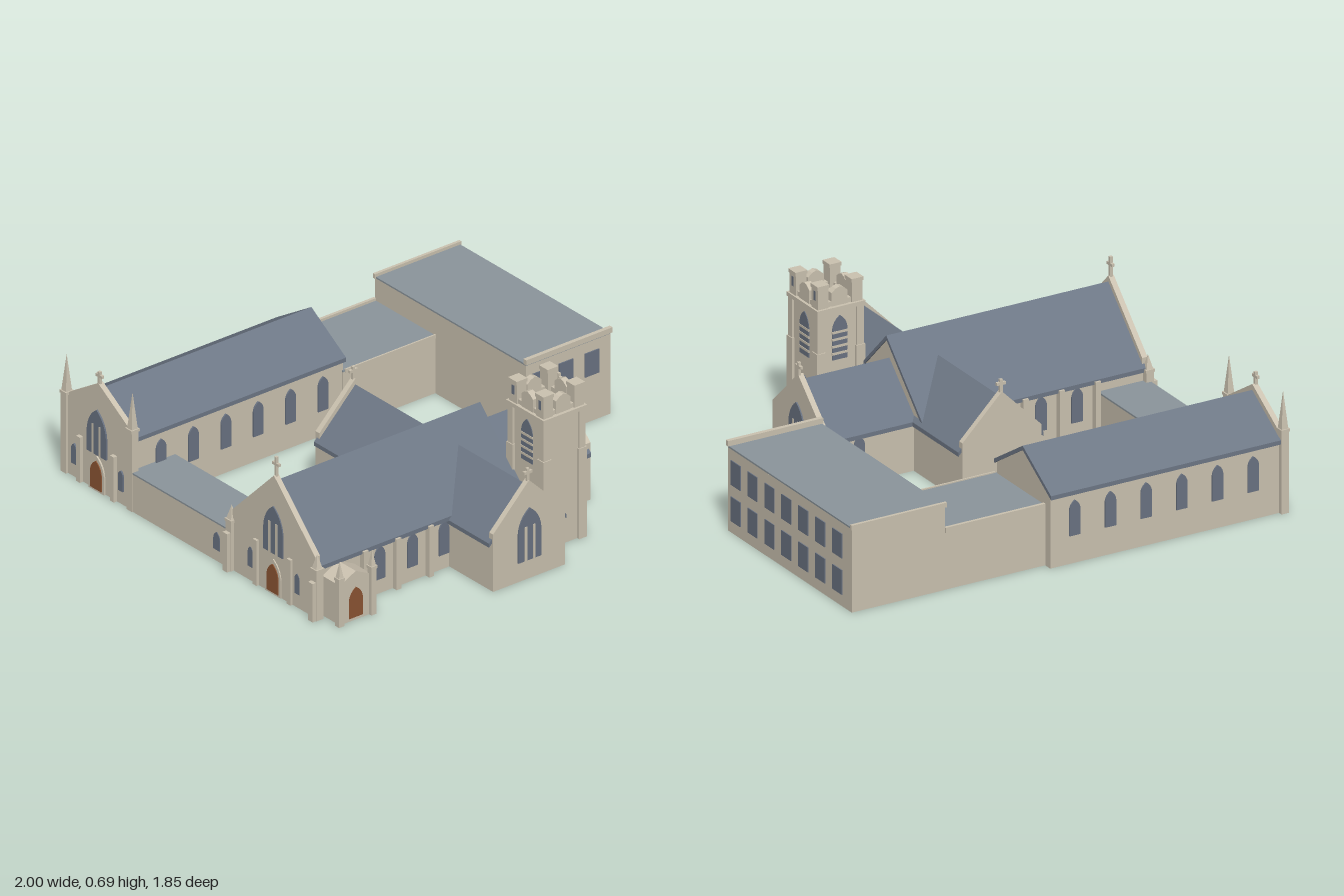
import * as THREE from 'three';

const mat = (name, color) => Object.assign(new THREE.MeshStandardMaterial({ color }), { name });

export function createModel() {
  const stone = mat('stone', 0xcbc2b0);
  const slate = mat('slate', 0x6e7886);
  const flat = mat('flatRoof', 0x8b959b);
  const glass = mat('glass', 0x6a7382);
  const wood = mat('wood', 0x8b5433);
  const root = new THREE.Group();
  root.name = 'church';

  const add = (name, geo, m, parent = root) => {
    const mesh = new THREE.Mesh(geo, m);
    mesh.name = name;
    parent.add(mesh);
    return mesh;
  };
  // Box from its limits on each axis
  const block = (name, x0, x1, y0, y1, z0, z1, m = stone, parent = root) => {
    const b = add(name, new THREE.BoxGeometry(x1 - x0, y1 - y0, z1 - z0), m, parent);
    b.position.set((x0 + x1) / 2, (y0 + y1) / 2, (z0 + z1) / 2);
    return b;
  };
  const extrude = (pts, depth) => new THREE.ExtrudeGeometry(
    new THREE.Shape(pts.map(p => new THREE.Vector2(...p))), { depth, bevelEnabled: false });

  // Pointed-arch plate, facing +z before turning
  const archGeo = (w, h, rise, depth = 0.007) => {
    const s = new THREE.Shape(), a = w / 2;
    s.moveTo(-a, 0);
    s.lineTo(a, 0);
    s.lineTo(a, h - rise);
    s.quadraticCurveTo(a * 0.9, h - rise * 0.35, 0, h);
    s.quadraticCurveTo(-a * 0.9, h - rise * 0.35, -a, h - rise);
    return new THREE.ExtrudeGeometry(s, { depth, bevelEnabled: false, curveSegments: 6 });
  };
  const FRONT = 0, BACK = Math.PI, EAST = Math.PI / 2, WEST = -Math.PI / 2;
  const lancet = (name, x, y, z, turn, w, h, m = glass, rise = w * 0.8) => {
    const p = add(name, archGeo(w, h, rise), m);
    p.position.set(x, y, z);
    p.rotation.y = turn;
    return p;
  };
  // Large window with two mullions splitting the lower part into three lights
  const greatWindow = (x, y, z, turn, w, h) => {
    const p = lancet('greatWindow', x, y, z, turn, w, h, glass, w * 0.9);
    for (const s of [-1, 1]) {
      block('mullion', s * w * 0.18 - 0.006, s * w * 0.18 + 0.006, 0, h * 0.66, 0, 0.009, stone, p);
    }
  };

  const cross = (x, y0, y1, z, turn) => {
    const g = new THREE.Group(), h = y1 - y0;
    g.name = 'cross';
    block('crossPost', -0.006, 0.006, -0.02, h, -0.006, 0.006, stone, g);
    block('crossArm', -0.02, 0.02, h * 0.55, h * 0.55 + 0.012, -0.006, 0.006, stone, g);
    g.position.set(x, y0, z);
    g.rotation.y = turn;
    root.add(g);
  };

  // Gabled wing: ridge runs along local z from a to b
  const wing = (name, o) => {
    const g = new THREE.Group();
    g.name = name;
    const { w, eave, ridge, a, b } = o, t = 0.018, slope = (ridge - eave) / w, ww = w - 0.014;
    const low = ridge - 0.008 - slope * ww;
    const body = add('walls', extrude([[-ww, 0], [ww, 0], [ww, low], [0, ridge - 0.008], [-ww, low]], b - a - 0.01), stone, g);
    body.position.z = a + 0.005;
    const roof = add('roof', extrude([[-w, eave - t], [0, ridge - t], [w, eave - t], [w, eave], [0, ridge], [-w, eave]], b - a), slate, g);
    roof.position.z = a;
    // Raised coping on the chosen gable ends
    for (const end of o.gables) {
      const up = 0.025, cw = ww;
      const y = ridge + up - slope * cw;
      const c = add('gableCoping', extrude([[-cw, 0], [cw, 0], [cw, y], [0, ridge + up], [-cw, y]], 0.024), stone, g);
      c.position.z = end === a ? a - 0.008 : b - 0.016;
    }
    g.position.set(o.x || 0, 0, o.z || 0);
    g.rotation.y = o.turn || 0;
    root.add(g);
  };

  // Square shaft with a pyramid cap
  const pinnacle = (x, z, w, shaft, top) => {
    block('pinnacleShaft', x - w / 2, x + w / 2, 0, shaft, z - w / 2, z + w / 2);
    block('pinnacleCollar', x - w * 0.6, x + w * 0.6, shaft - 0.012, shaft, z - w * 0.6, z + w * 0.6);
    const c = add('pinnacleSpire', new THREE.ConeGeometry(w * 0.62, top - shaft, 4).toNonIndexed(), stone);
    c.geometry.computeVertexNormals();
    c.rotation.y = Math.PI / 4;
    c.position.set(x, (shaft + top) / 2, z);
  };

  // Main wings
  wing('nave', { w: 0.27, eave: 0.23, ridge: 0.5, a: -0.96, b: 0.07, z: 0.39, turn: EAST, gables: [-0.96] });
  wing('chancel', { w: 0.205, eave: 0.215, ridge: 0.41, a: 0.06, b: 0.475, z: 0.375, turn: EAST, gables: [0.475] });
  wing('southTransept', { w: 0.195, eave: 0.215, ridge: 0.41, a: 0.42, b: 0.91, x: -0.112, gables: [0.91] });
  wing('northTransept', { w: 0.195, eave: 0.215, ridge: 0.41, a: -0.175, b: 0.36, x: -0.112, gables: [-0.175] });
  wing('hall', { w: 0.215, eave: 0.315, ridge: 0.45, a: -0.955, b: 0.11, z: -0.705, turn: EAST, gables: [-0.955] });
  cross(-0.955, 0.52, 0.605, 0.39, EAST);
  cross(0.478, 0.43, 0.485, 0.375, EAST);
  cross(-0.112, 0.43, 0.485, 0.908, 0);
  cross(-0.112, 0.43, 0.485, -0.173, 0);
  cross(-0.955, 0.47, 0.525, -0.705, EAST);

  // Flat-roofed school block and links
  block('schoolWalls', 0.565, 0.99, 0, 0.355, -0.87, 0.065);
  block('schoolRoof', 0.565, 0.99, 0.355, 0.362, -0.87, 0.065, flat);
  block('schoolFrontParapet', 0.56, 0.995, 0.362, 0.385, 0.055, 0.073);
  block('schoolBackParapet', 0.56, 0.995, 0.355, 0.375, -0.878, -0.865);
  block('linkWalls', 0.1, 0.566, 0, 0.25, -0.868, -0.497);
  block('linkRoof', 0.1, 0.566, 0.25, 0.257, -0.868, -0.497, flat);
  block('linkBackParapet', 0.11, 0.565, 0.245, 0.268, -0.878, -0.865);
  block('linkFrontParapet', 0.11, 0.565, 0.245, 0.262, -0.499, -0.492);
  block('cloisterWalls', -0.97, -0.742, 0, 0.165, -0.5, 0.14);
  block('cloisterRoof', -0.97, -0.742, 0.165, 0.172, -0.5, 0.14, flat);
  for (const x of [0.635, 0.765, 0.895]) block('schoolWindow', x - 0.036, x + 0.036, 0.205, 0.31, 0.062, 0.07, glass);
  for (let i = 0; i < 7; i++) {
    const z = 0.004 - i * 0.128;
    for (const y of [0.05, 0.205]) block('schoolWindow', 0.986, 0.994, y, y + 0.105, z - 0.036, z + 0.036, glass);
  }

  // Nave sides: lancets and buttresses
  for (const x of [-0.645, -0.48, -0.322]) {
    lancet('naveWindow', x, 0.065, 0.645, FRONT, 0.052, 0.148);
    lancet('naveWindow', x, 0.065, 0.135, BACK, 0.052, 0.148);
  }
  for (const x of [-0.73, -0.565, -0.4]) {
    block('buttress', x - 0.012, x + 0.012, 0, 0.225, 0.64, 0.67);
    block('buttress', x - 0.012, x + 0.012, 0, 0.225, 0.11, 0.14);
  }
  // Chancel, transept and hall windows
  for (const x of [0.32, 0.415]) {
    lancet('chancelWindow', x, 0.07, 0.565, FRONT, 0.05, 0.135);
    lancet('chancelWindow', x, 0.07, 0.185, BACK, 0.05, 0.135);
  }
  greatWindow(-0.112, 0.085, 0.917, FRONT, 0.115, 0.23);
  greatWindow(0.482, 0.085, 0.38, EAST, 0.115, 0.23);
  for (let i = 0; i < 6; i++) {
    const x = -0.005 - i * 0.163;
    lancet('hallWindow', x, 0.12, -0.495, FRONT, 0.05, 0.15);
    lancet('hallWindow', x, 0.12, -0.905, BACK, 0.05, 0.15);
  }

  // West fronts of the nave and hall
  for (const [z, win, top] of [[0.39, 0.18, 0.21], [-0.705, 0.16, 0.2]]) {
    greatWindow(-0.966, win, z, WEST, 0.12, top);
    lancet('portalSurround', -0.966, 0, z, WEST, 0.095, 0.155, stone);
    lancet('westDoor', -0.97, 0.01, z, WEST, 0.07, 0.125, wood);
    for (const s of [-1, 1]) {
      lancet('westSideWindow', -0.963, 0.06, z + s * 0.145, WEST, 0.03, 0.09);
      block('westButtress', -0.98, -0.95, 0, 0.2, z + s * 0.105 - 0.012, z + s * 0.105 + 0.012);
    }
  }
  lancet('cloisterWindow', -0.966, 0.05, 0.04, WEST, 0.04, 0.08);
  for (const z of [0.125, 0.655]) {
    pinnacle(-0.965, z, 0.034, 0.225, 0.285);
    block('cornerButtress', -1, -0.955, 0, 0.17, z - 0.014, z + 0.014);
  }
  for (const z of [-0.908, -0.5]) pinnacle(-0.957, z, 0.034, 0.36, 0.52);

  // South porch
  const porch = add('porch', extrude([[-0.08, 0], [0.08, 0], [0.08, 0.175], [0, 0.215], [-0.08, 0.175]], 0.11), stone);
  porch.position.set(-0.852, 0, 0.645);
  lancet('porchDoor', -0.852, 0.012, 0.75, FRONT, 0.07, 0.133, wood);
  for (const x of [-0.935, -0.772]) pinnacle(x, 0.757, 0.026, 0.215, 0.285);

  // Tower
  const tx = 0.172, tz = 0.677;
  block('towerBody', tx - 0.097, tx + 0.097, 0, 0.57, tz - 0.103, tz + 0.103);
  block('towerCornice', tx - 0.11, tx + 0.11, 0.568, 0.585, tz - 0.117, tz + 0.117);
  for (const sx of [-1, 1]) for (const sz of [-1, 1]) {
    const bx = tx + sx * 0.09, bz = tz + sz * 0.096;
    block('towerButtress', bx - 0.02, bx + 0.02, 0, 0.4, bz - 0.02, bz + 0.02);
    block('towerButtressUpper', bx - 0.016, bx + 0.016, 0.4, 0.57, bz - 0.016, bz + 0.016);
    const cx = tx + sx * 0.078, cz = tz + sz * 0.083;
    block('turret', cx - 0.024, cx + 0.024, 0.585, 0.672, cz - 0.024, cz + 0.024);
    block('turretCap', cx - 0.027, cx + 0.027, 0.67, 0.685, cz - 0.027, cz + 0.027);
    const fx = cx + sx * 0.021;
    block('turretSlit', fx - 0.004, fx + 0.004, 0.62, 0.66, cz - 0.008, cz + 0.008, glass);
  }
  for (const [turn, d] of [[FRONT, 0.105], [BACK, 0.105], [EAST, 0.1], [WEST, 0.1]]) {
    const g = new THREE.Group();
    g.name = 'parapetSide';
    block('parapet', -0.075, 0.075, 0.58, 0.605, d - 0.03, d - 0.005, stone, g);
    const m = add('peakedMerlon', extrude([[-0.036, 0.58], [0.036, 0.58], [0.036, 0.642], [0.018, 0.658], [0, 0.664], [-0.018, 0.658], [-0.036, 0.642]], 0.028), stone, g);
    m.position.z = d - 0.03;
    g.position.set(tx, 0, tz);
    g.rotation.y = turn;
    root.add(g);
  }
  // Belfry louvres
  for (const [x, z, turn] of [[tx + 0.093, tz, EAST], [tx - 0.093, tz, WEST], [tx, tz - 0.099, BACK]]) {
    const p = lancet('belfryOpening', x, 0.355, z, turn, 0.07, 0.187, glass, 0.06);
    for (let i = 0; i < 4; i++) block('louvre', -0.036, 0.036, 0.022 + i * 0.03, 0.032 + i * 0.03, 0, 0.009, stone, p);
  }
  lancet('towerLancet', tx + 0.093, 0.19, tz, EAST, 0.03, 0.08);

  return root;
}
